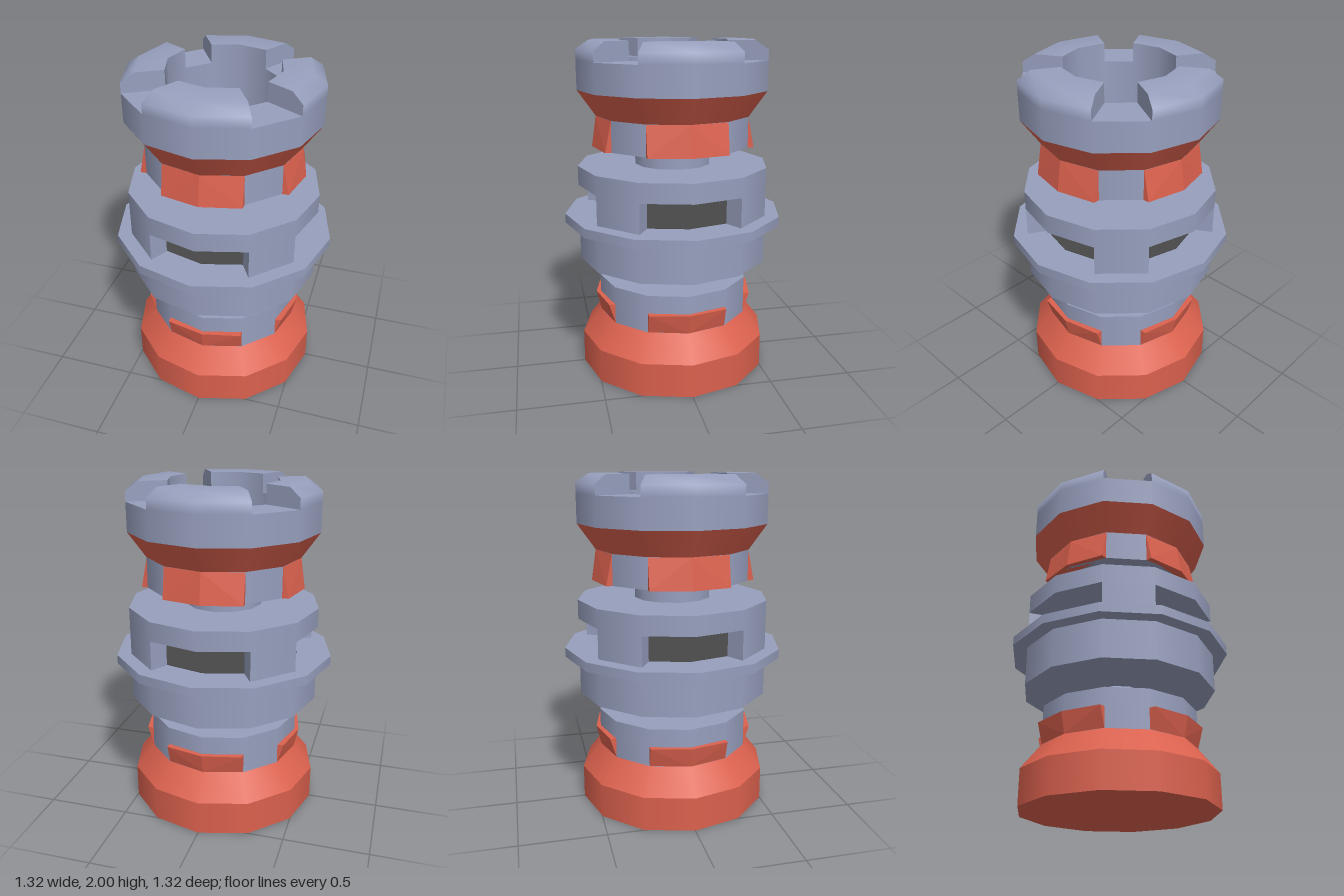
import * as THREE from 'three';
import { mergeGeometries } from 'three/addons/utils/BufferGeometryUtils.js';
import { ConvexGeometry } from 'three/addons/geometries/ConvexGeometry.js';

const STEP = Math.PI / 6; // everything is twelve-sided
const vec = (points) => points.map(([r, y]) => new THREE.Vector2(r, y));

// Lathe made of separate strips, so edges between strips stay sharp
function turned(strips, start = 0, steps = 12) {
  return mergeGeometries(strips.map((s) =>
    new THREE.LatheGeometry(vec(s), steps, start * STEP, steps * STEP)));
}

// Solid disc or frustum, closed at both ends
function disc(y0, y1, r0, r1 = r0) {
  return turned([[[0, y0], [r0, y0]], [[r0, y0], [r1, y1]], [[r1, y1], [0, y1]]]);
}

// Partial ring with flat walls at both ends
function sector(strips, start, steps) {
  const outline = strips.flatMap((s) => s.slice(0, -1));
  const wall = (phi, flip) => {
    const g = new THREE.ShapeGeometry(new THREE.Shape(vec(outline)));
    if (flip) {
      g.index.array.reverse();
      const n = g.attributes.normal;
      for (let i = 0; i < n.count; i++) n.setZ(i, -1);
    }
    return g.rotateY(phi - Math.PI / 2);
  };
  return mergeGeometries([
    turned(strips, start, steps),
    wall(start * STEP),
    wall((start + steps) * STEP, true),
  ]);
}

// Flared wedge whose thin end sits at y0 and thick end at y1
function clawGeometry(y0, y1) {
  const points = [];
  for (const [x, zCore, zFlare] of [[-0.23, 0.398, 0.435], [0, 0.46, 0.487], [0.23, 0.398, 0.435]]) {
    points.push(new THREE.Vector3(x, y0, zCore), new THREE.Vector3(x, y1, zCore), new THREE.Vector3(x, y1, zFlare));
  }
  return new ConvexGeometry(points);
}

export function createModel() {
  const grey = new THREE.MeshStandardMaterial({ color: 0x979fbd });
  grey.name = 'blue grey';
  const red = new THREE.MeshStandardMaterial({ color: 0xdb614e });
  red.name = 'coral red';
  const dark = new THREE.MeshStandardMaterial({ color: 0x484848 });
  dark.name = 'dark grey';

  const model = new THREE.Group();
  model.name = 'connector';
  const add = (name, geometry, material) => {
    const mesh = new THREE.Mesh(geometry, material);
    mesh.name = name;
    model.add(mesh);
    return mesh;
  };

  // Red base with sloping shoulder
  add('base', turned([
    [[0, 0], [0.575, 0]],
    [[0.575, 0], [0.575, 0.205]],
    [[0.575, 0.205], [0.46, 0.35]],
  ]), red);
  add('lowerColumn', disc(0.35, 0.58, 0.46), grey);

  // Pins with a chamfered top
  for (const [name, y0, y1] of [['lowerPin', 0.58, 0.7], ['upperPin', 1.275, 1.39]]) {
    add(name, turned([
      [[0.23, y0], [0.23, y1 - 0.03]],
      [[0.23, y1 - 0.03], [0.17, y1]],
      [[0.17, y1], [0, y1]],
    ]), grey);
  }

  // Middle body: drum, flange, open cage and lid
  add('drum', disc(0.7, 0.93, 0.575), grey);
  add('flange', disc(0.93, 0.985, 0.66), grey);
  add('cageFloor', disc(0.985, 0.988, 0.455), dark);
  add('cageLid', disc(1.16, 1.275, 0.575), grey);

  // Upper column and sloping collar
  add('upperColumn', disc(1.39, 1.57, 0.46), grey);
  add('collar', turned([[[0.46, 1.57], [0.565, 1.72]]]), red);

  // Hollow crown body up to the notch floors
  add('crownBody', turned([
    [[0.565, 1.72], [0.565, 1.89]],
    [[0.565, 1.89], [0.325, 1.89]],
    [[0.325, 1.89], [0.325, 1.57]],
    [[0.325, 1.57], [0, 1.57]],
  ]), grey);

  // Parts repeated on four sides
  const lowerClaw = clawGeometry(0.35, 0.47);
  const upperClaw = clawGeometry(1.57, 1.39);
  for (let i = 0; i < 4; i++) {
    add('lowerClaw', lowerClaw, red).rotation.y = i * Math.PI / 2;
    add('upperClaw', upperClaw, red).rotation.y = i * Math.PI / 2;

    // Cage pillars on the diagonals
    add('pillar', sector([
      [[0.46, 0.985], [0.575, 0.985]],
      [[0.575, 0.985], [0.575, 1.16]],
      [[0.575, 1.16], [0.46, 1.16]],
      [[0.46, 1.16], [0.46, 0.985]],
    ], i * 3 + 1, 1), grey);

    // Raised crown teeth with a softened outer rim
    add('crownTooth', sector([
      [[0.565, 1.89], [0.565, 1.95], [0.49, 2], [0.325, 2]],
      [[0.325, 2], [0.325, 1.89]],
      [[0.325, 1.89], [0.565, 1.89]],
    ], i * 3 - 1, 2), grey);
  }
  return model;
}
